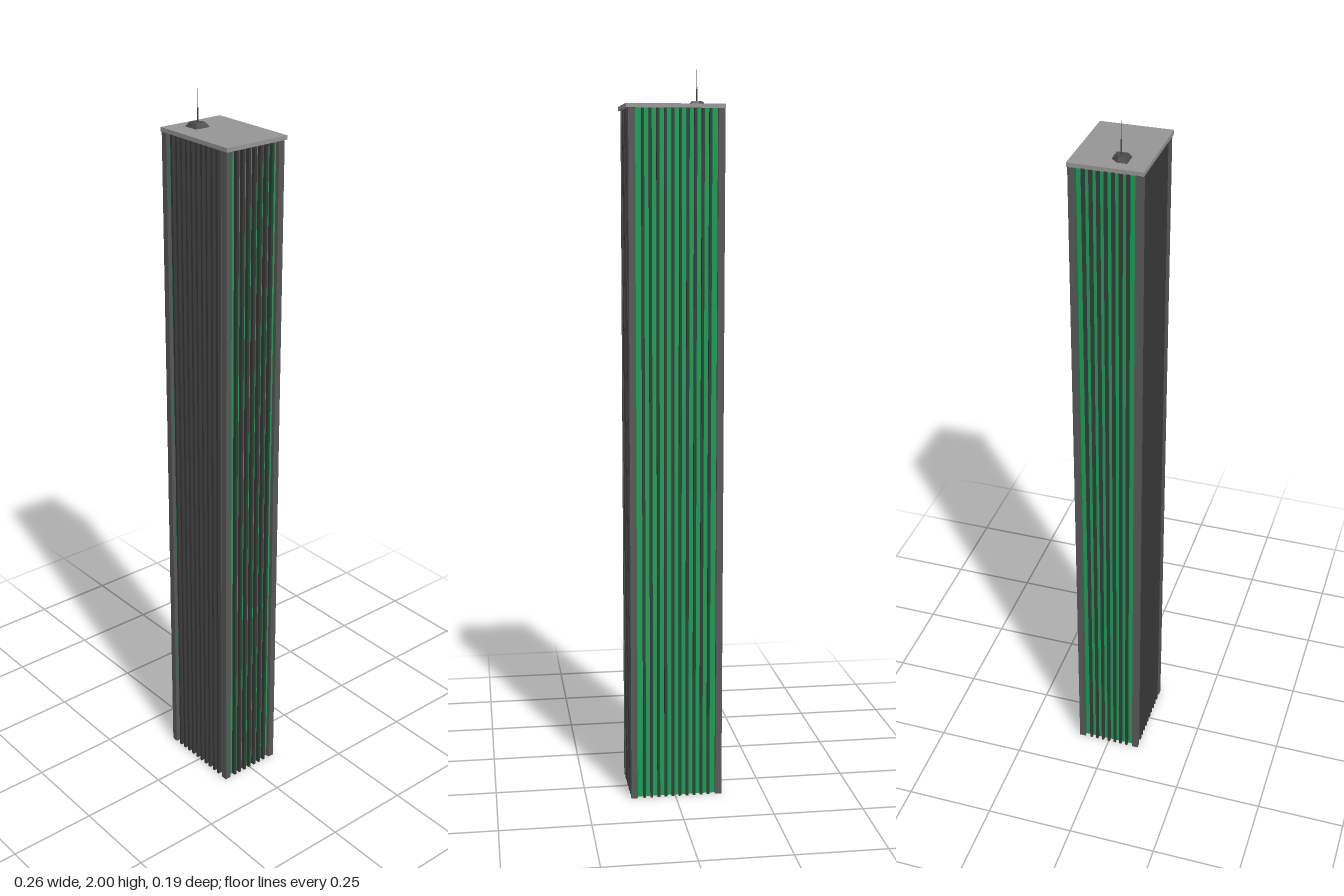
import * as THREE from 'three';

export function createModel() {
  const group = new THREE.Group();
  group.name = 'tower';
  const mat = (color) => new THREE.MeshStandardMaterial({ color, flatShading: true });
  const glass = mat(0x12a055), fin = mat(0x3a3a3a), pillar = mat(0x585858);
  const slab = mat(0x969696), dark = mat(0x4a4a4a);

  const add = (name, geometry, material, x, y, z) => {
    const mesh = new THREE.Mesh(geometry, material);
    mesh.name = name;
    mesh.position.set(x, y, z);
    group.add(mesh);
    return mesh;
  };
  const box = (name, w, h, d, material, x, y, z) =>
    add(name, new THREE.BoxGeometry(w, h, d), material, x, y, z);

  const H = 1.895;          // wall height
  const cx = -0.003;        // the shaft sits slightly off the roof's centre
  const hx = 0.128, hz = 0.093; // outer half sizes
  const depth = 0.011;      // how far fins stand out from the glass

  // Glass core
  box('glassCore', 2 * (hx - depth), H, 2 * (hz - depth), glass, cx, H / 2, 0);

  // Corner pillars
  const p = 0.018;
  for (const sx of [-1, 1]) for (const sz of [-1, 1])
    box('cornerPillar', p, H, p, pillar, cx + sx * (hx - p / 2), H / 2, sz * (hz - p / 2));

  // Vertical fins, evenly spaced between the pillars on all four sides
  const finWidth = 0.007;
  const fins = (count, half, place) => {
    const span = 2 * (half - p);
    for (let i = 1; i <= count; i++) place(-span / 2 + (span * i) / (count + 1));
  };
  for (const s of [-1, 1]) {
    fins(10, hx, (x) =>
      box('facadeFin', finWidth, H, depth, fin, cx + x, H / 2, s * (hz - depth / 2)));
    fins(7, hz, (z) =>
      box('sideFin', depth, H, finWidth, fin, cx + s * (hx - depth / 2), H / 2, z));
  }

  // Roof slab
  const roofTop = 1.905;
  box('roofSlab', 0.262, 0.011, 0.192, slab, 0, roofTop - 0.0055, 0);

  // Rooftop unit: a square with one cut corner, tapering upward
  const ux = -0.075, uz = 0.0225, r = 0.022, cut = 0.019;
  const outline = new THREE.Shape([
    [-r, -r], [r, -r], [r, r], [-r + cut, r], [-r, r - cut],
  ].map(([x, y]) => new THREE.Vector2(x, y)));
  const unit = new THREE.ExtrudeGeometry(outline, { depth: 0.012, bevelEnabled: false });
  unit.rotateX(-Math.PI / 2);
  const pos = unit.attributes.position;
  for (let i = 0; i < pos.count; i++)
    if (pos.getY(i) > 0.006) pos.setXYZ(i, pos.getX(i) * 0.66, pos.getY(i), pos.getZ(i) * 0.66);
  unit.computeVertexNormals();
  add('rooftopUnit', unit, dark, ux, roofTop, uz);

  // Antenna in two stages
  const rod = (name, radius, y0, y1) =>
    add(name, new THREE.CylinderGeometry(radius * 0.7, radius, y1 - y0, 8), dark, ux + 0.002, (y0 + y1) / 2, uz);
  rod('antennaBase', 0.002, roofTop + 0.011, 1.955);
  rod('antennaTip', 0.001, 1.955, 2);

  return group;
}
